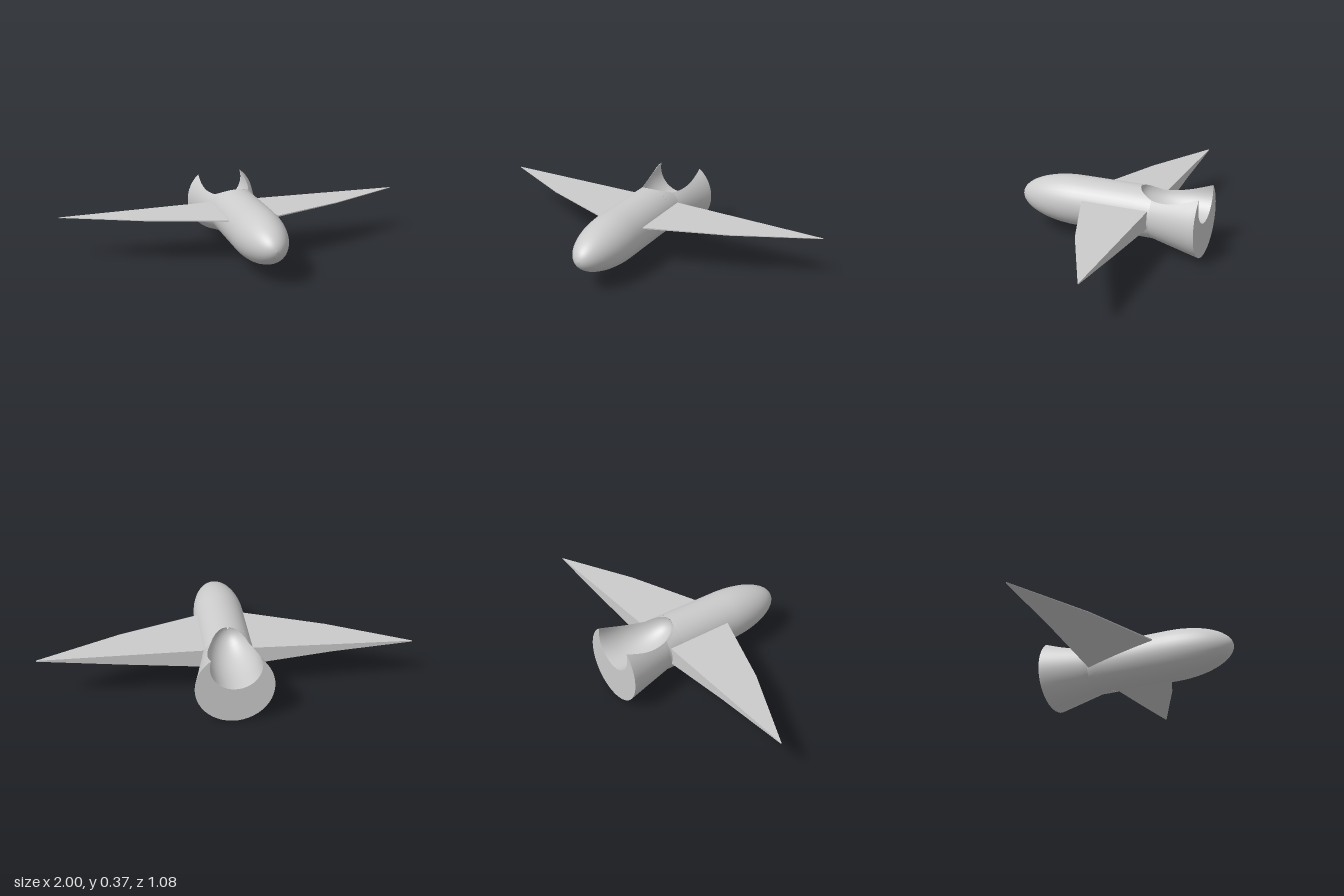
import * as THREE from 'three';

const AXIS_Y = 0.21, BODY_R = 0.142, BREAK_Z = -0.27, TAIL_Z = -0.54;
const SCOOP = new THREE.Vector2(-0.006, 0.123); // scoop centre relative to the body axis
const SCOOP_TIP = -0.175, SCOOP_FULL = -0.45, SCOOP_R = 0.134;

// Surface through equal-length rows of points
function loft(rows, closed = false) {
  const n = rows[0].length, index = [];
  for (let i = 0; i < rows.length - 1; i++) {
    for (let j = 0; j < (closed ? n : n - 1); j++) {
      const k = (j + 1) % n, a = i * n, b = a + n;
      index.push(a + j, b + j, a + k, a + k, b + j, b + k);
    }
  }
  const geo = new THREE.BufferGeometry();
  geo.setAttribute('position', new THREE.Float32BufferAttribute(rows.flat(2), 3));
  geo.setIndex(index);
  geo.computeVertexNormals();
  return geo;
}

const hullRadius = z => z > BREAK_Z ? BODY_R
  : THREE.MathUtils.mapLinear(z, BREAK_Z, TAIL_Z, BODY_R, 0.205);

function scoopRadius(z) {
  const t = Math.max(0, (z - SCOOP_FULL) / (SCOOP_TIP - SCOOP_FULL));
  return SCOOP_R * Math.sqrt(Math.max(0, 1 - t * t));
}

// Arc open by the half angle around the scoop direction
function arc(cx, cy, r, half, n, z) {
  const phi = Math.atan2(SCOOP.x, SCOOP.y);
  return Array.from({ length: n + 1 }, (_, i) => {
    const a = phi + half + (2 * Math.PI - 2 * half) * i / n;
    return [cx + r * Math.sin(a), AXIS_Y + cy + r * Math.cos(a), z];
  });
}

// Outer hull arc and inner scoop arc of the tail at one station
function section(z) {
  const R = hullRadius(z), s = scoopRadius(z), d = SCOOP.length();
  const clampAcos = v => Math.acos(THREE.MathUtils.clamp(v, -1, 1));
  const cut = s > R - d;
  const a = cut ? clampAcos((d * d + R * R - s * s) / (2 * d * R)) : 0;
  const b = cut ? clampAcos((R * R - d * d - s * s) / (2 * d * s)) : 0;
  return { outer: arc(0, 0, R, a, 36, z), inner: arc(SCOOP.x, SCOOP.y, s, b, 24, z) };
}

export function createModel() {
  const group = new THREE.Group();
  const smooth = new THREE.MeshStandardMaterial({ color: 0xcccccc, side: THREE.DoubleSide });
  const flat = new THREE.MeshStandardMaterial({ color: 0xcccccc, side: THREE.DoubleSide, flatShading: true });
  const add = (name, geo, mat = smooth) => {
    const mesh = new THREE.Mesh(geo, mat);
    mesh.name = name;
    group.add(mesh);
    return mesh;
  };

  // Straight front body with an elliptical nose
  const profile = [new THREE.Vector2(BODY_R, SCOOP_TIP)];
  for (let i = 0; i <= 14; i++) {
    const a = i / 14 * Math.PI / 2;
    profile.push(new THREE.Vector2(BODY_R * Math.cos(a), 0.19 + 0.35 * Math.sin(a)));
  }
  const nose = new THREE.LatheGeometry(profile, 36);
  nose.rotateX(Math.PI / 2);
  add('fuselage', nose).position.y = AXIS_Y;

  // Rear body and flared tail, both opened by the scoop
  const rearZ = [-0.175, -0.178, -0.183, -0.19, -0.2, -0.215, -0.24, BREAK_Z];
  const tailZ = Array.from({ length: 10 }, (_, i) => BREAK_Z + (TAIL_Z - BREAK_Z) * i / 9);
  add('rearFuselage', loft(rearZ.map(z => section(z).outer)));
  add('flaredTail', loft(tailZ.map(z => section(z).outer)));
  add('scoop', loft([...rearZ, ...tailZ.slice(1)].map(z => section(z).inner)));

  // Crescent that closes the tail
  const end = section(TAIL_Z);
  const outline = [...end.outer, ...end.inner.slice(1, -1).reverse()];
  const crescent = new THREE.Shape(outline.map(([x, y]) => new THREE.Vector2(x, y)));
  add('tailEnd', new THREE.ShapeGeometry(crescent), flat).position.z = TAIL_Z;

  // Wedge wings: flat top, thin leading edge, deep trailing edge at the root
  const TE = -0.26;
  for (const side of [1, -1]) {
    const tipY = side > 0 ? 0.267 : 0.247;
    const stations = [[0.09, 0.14, 0.162], [0.14, 0.12, 0.167], [0.565, -0.04, 0.212], [1, -0.257, tipY - 0.005]];
    const rows = stations.map(([x, lead, under]) => {
      const top = THREE.MathUtils.mapLinear(x, 0.09, 1, 0.266, tipY);
      const lip = 0.006 * (1 - x) + 0.002;
      return [[side * x, top, lead], [side * x, top, TE], [side * x, under, TE], [side * x, top - lip, lead]];
    });
    if (side < 0) rows.forEach(r => r.reverse());
    add(side > 0 ? 'leftWing' : 'rightWing', loft(rows, true), flat);
  }
  return group;
}
